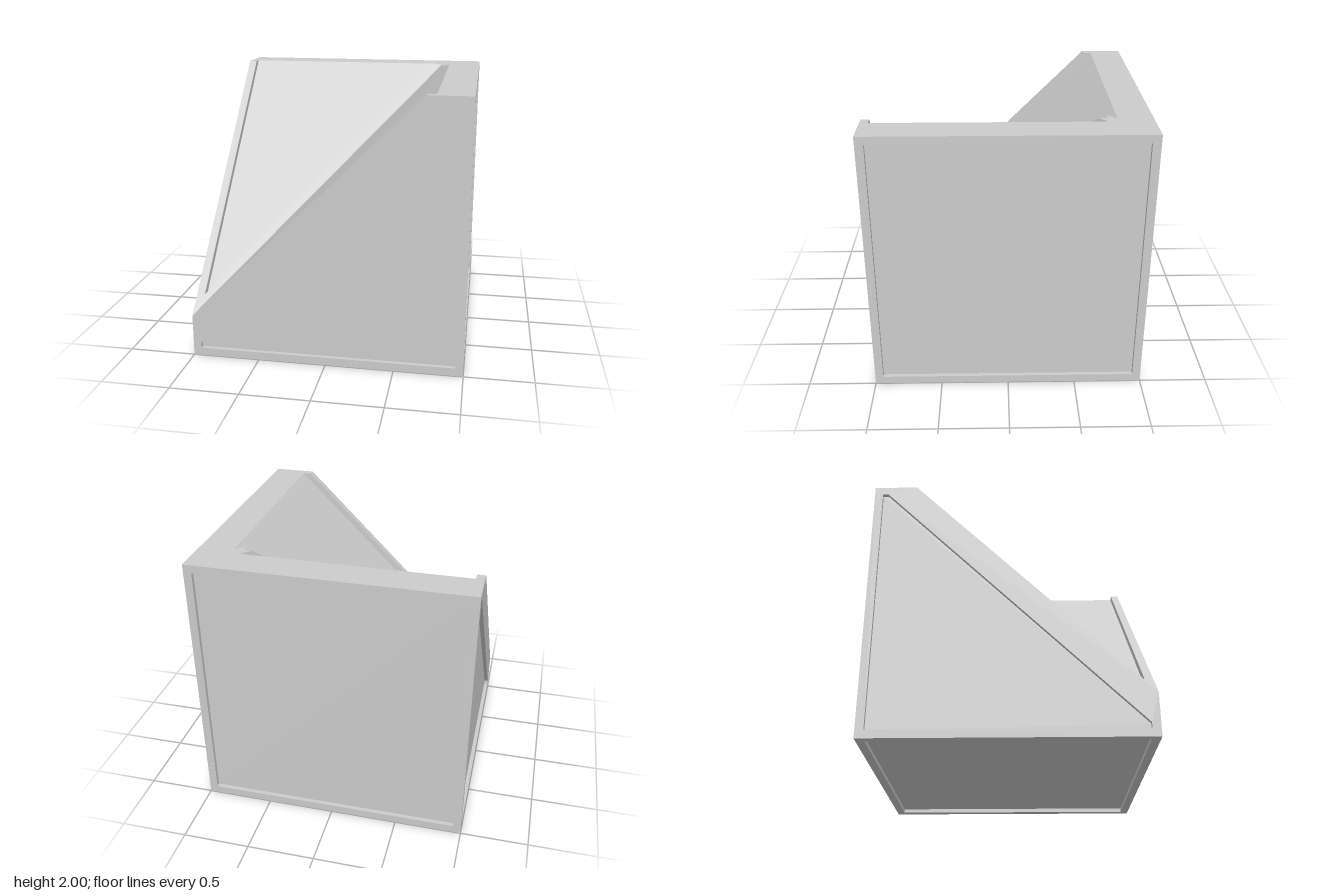
import * as THREE from 'three';
import { mergeGeometries } from 'three/addons/utils/BufferGeometryUtils.js';

const EDGE = 0.685;   // where the slopes meet the flat top
const RIM = 0.94;     // inner edge of the border strips
const DROP = 0.065;   // depth of the pockets in the slopes
const DEPTH = 0.03;   // depth of the side panels

const V = (x, y, z) => new THREE.Vector3(x, y, z);

// Flat polygon, counter-clockwise seen from outside, with optional holes
function face(points, holes = []) {
  const n = V(0, 0, 0);
  points.forEach((p, i) => n.add(p.clone().cross(points[(i + 1) % points.length])));
  n.normalize();
  const u = points[1].clone().sub(points[0]).normalize();
  const v = n.clone().cross(u);
  const flat = (list) => list.map((p) => new THREE.Vector2(p.dot(u), p.dot(v)));
  const tris = THREE.ShapeUtils.triangulateShape(flat(points), holes.map(flat));
  const all = [points, ...holes].flat();
  const g = new THREE.BufferGeometry().setFromPoints(tris.flat().map((i) => all[i]));
  g.computeVertexNormals();
  return g;
}

// Border frame around a sunken panel
function panel(outer, inner) {
  const n = outer[1].clone().sub(outer[0]).cross(outer[2].clone().sub(outer[1])).normalize();
  const floor = inner.map((p) => p.clone().addScaledVector(n, -DEPTH));
  const walls = inner.map((p, i) => {
    const j = (i + 1) % inner.length;
    return face([p, inner[j], floor[j], floor[i]]);
  });
  return mergeGeometries([face(outer, [inner]), face(floor), ...walls]);
}

// Mirror across the vertical diagonal plane x = -z, keeping faces outward
const mirror = (pts) => pts.map((p) => V(-p.z, p.y, -p.x)).reverse();
const same = (pts) => pts;

export function createModel() {
  const group = new THREE.Group();
  const material = new THREE.MeshStandardMaterial({ color: 0xcccccc, flatShading: true });
  const add = (name, geometry) => {
    const mesh = new THREE.Mesh(geometry, material);
    mesh.name = name;
    group.add(mesh);
  };

  // Full square sides
  const square = (s) => [[s, 1 - s], [-s, 1 - s], [-s, 1 + s], [s, 1 + s]].map(([z, y]) => V(1, y, z));
  add('leftSide', panel(square(1), square(RIM)));
  add('backSide', panel(mirror(square(1)), mirror(square(RIM))));

  // Underside
  const base = (s) => [V(-s, 0, -s), V(s, 0, -s), V(s, 0, s), V(-s, 0, s)];
  add('underside', panel(base(1), base(RIM)));

  // Sides with a diagonal top edge
  const at = (list) => list.map(([x, y]) => V(x, y, 1));
  const wedge = at([[-1, 0], [1, 0], [1, 2], [EDGE, 2], [-1, 2 - 1 - EDGE]]);
  const wedgeInner = at([[-RIM, 0.06], [RIM, 0.06], [RIM, 1.94], [0.9, 1.94], [-RIM, 0.1]]);
  add('frontSide', panel(wedge, wedgeInner));
  add('rightSide', panel(mirror(wedge), mirror(wedgeInner)));

  // Two slopes meeting in a valley, each with a pocket open at the top
  const v0 = V(-1, 1 - EDGE, 1), v1 = V(EDGE, 2, -EDGE), v2 = V(-1, 2, -EDGE);
  const r0 = V(-RIM, 0.44, 0.875), r1 = V(EDGE - DROP, 2, -EDGE), r2 = V(-RIM, 2, -EDGE);
  const f0 = V(-RIM, 0.44 - DROP, 0.875), f1 = V(EDGE, 2, -EDGE - DROP), f2 = V(-RIM, 2, -EDGE - DROP);
  const slope = [
    [v0, v1, r1, r0], [v2, v0, r0, r2],   // border strips
    [r0, r1, f1, f0], [r2, r0, f0, f2],   // pocket walls
    [f0, f1, f2],                         // pocket floor
  ];
  for (const [name, place] of [['backSlope', same], ['leftSlope', mirror]]) {
    add(name, mergeGeometries(slope.map((pts) => face(place(pts)))));
  }

  // L-shaped flat top, notched where the pockets reach it
  const half = [V(-1, 2, -1), v2, r2, f2, f1, r1, v1];
  add('flatTop', face([...half, ...mirror(half.slice(0, -1)), V(1, 2, -1)]));

  return group;
}
